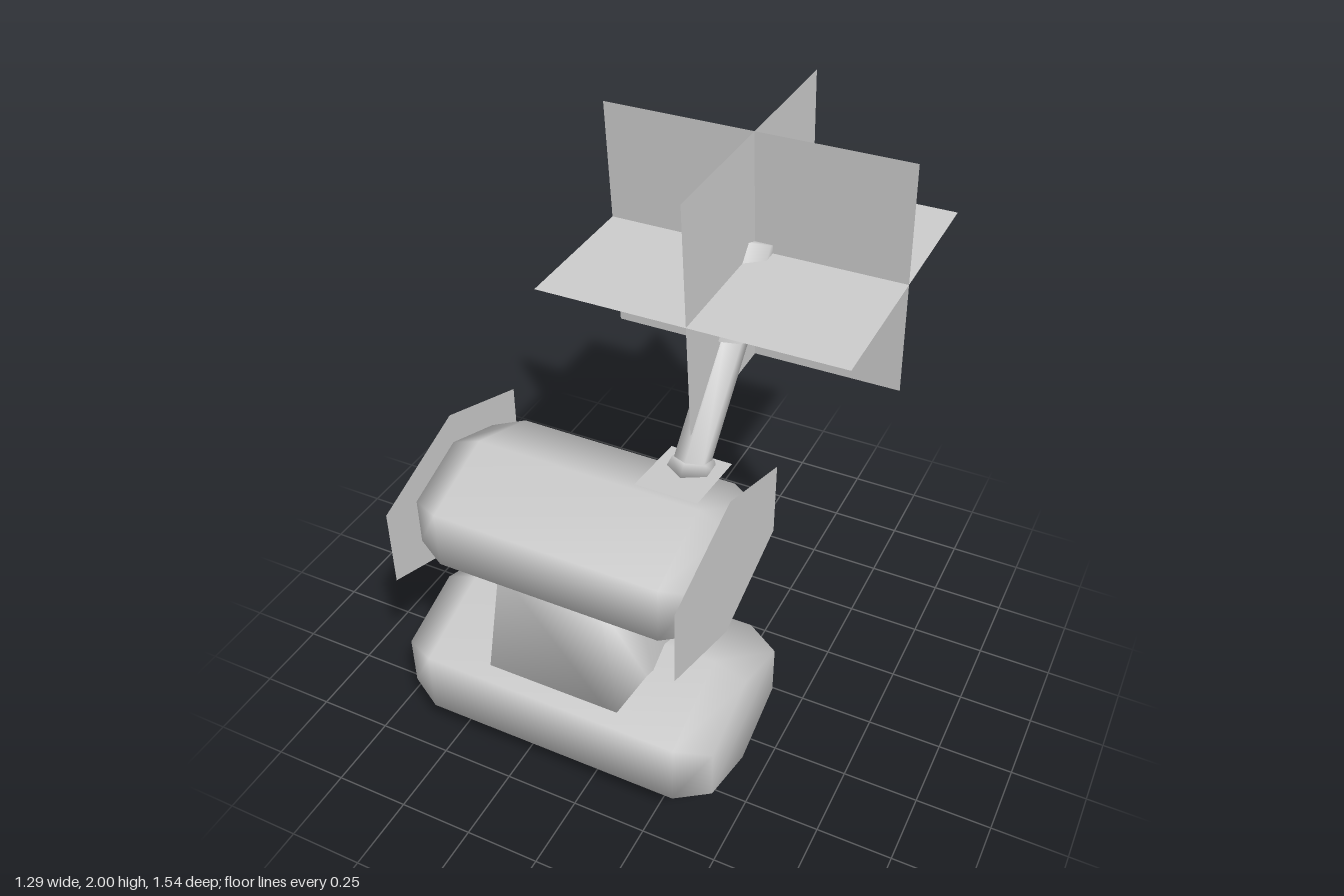
import * as THREE from 'three';

const solid = new THREE.MeshStandardMaterial({ color: 0xcccccc });
const thin = new THREE.MeshStandardMaterial({ color: 0xcccccc, side: THREE.DoubleSide });
const V = (x, y, z) => new THREE.Vector3(x, y, z);

function add(parent, name, geometry, material = solid) {
  const mesh = new THREE.Mesh(geometry, material);
  mesh.name = name;
  parent.add(mesh);
  return mesh;
}

// Skin through rings of points, counter-clockwise from above, lowest ring first, capped.
function loft(rings) {
  const n = rings[0].length;
  const points = rings.flat();
  const index = [];
  for (let r = 0; r < rings.length - 1; r++) {
    for (let i = 0; i < n; i++) {
      const a = r * n + i, b = r * n + (i + 1) % n;
      index.push(a, b, a + n, b, b + n, a + n);
    }
  }
  const last = (rings.length - 1) * n;
  for (let i = 1; i < n - 1; i++) {
    index.push(0, i + 1, i, last, last + i, last + i + 1);
  }
  const g = new THREE.BufferGeometry().setFromPoints(points);
  g.setIndex(index);
  g.computeVertexNormals();
  return g;
}

// Flat four-cornered sheet: centre and two half-extent vectors.
function sheet(c, a, b) {
  const corner = (s, t) => c.clone().addScaledVector(a, s).addScaledVector(b, t);
  const g = new THREE.BufferGeometry().setFromPoints(
    [corner(-1, -1), corner(1, -1), corner(1, 1), corner(-1, 1)]);
  g.setIndex([0, 1, 2, 0, 2, 3]);
  g.computeVertexNormals();
  return g;
}

// Six-sided tank lying along x, with chamfered ends.
function tank(x0, x1, y, z, halfY, halfZ, bevel) {
  const h = (x1 - x0) / 2;
  const profile = [[0, -h], [0.81, -h], [1, -h + bevel], [1, h - bevel], [0.81, h], [0, h]]
    .map(([r, t]) => new THREE.Vector2(r, t));
  const g = new THREE.LatheGeometry(profile, 6, Math.PI / 2);
  g.rotateZ(-Math.PI / 2);
  g.scale(1, halfY, halfZ / Math.cos(Math.PI / 6));
  g.translate((x0 + x1) / 2, y, z);
  return g;
}

// Hexagonal ring whose plane slopes up towards the front.
const slope = 0.37;
function ring(c, r) {
  return Array.from({ length: 6 }, (_, i) => {
    const a = Math.PI / 2 + i * Math.PI / 3, z = -r * Math.sin(a);
    return V(c.x + r * Math.cos(a), c.y + slope * z, c.z + z);
  });
}

// Level section of the neck, corners cut towards front and back.
function neckRing(y, w, front, side) {
  const half = [[w - 0.055, front], [w, side], [w, 0.22], [w - 0.05, 0.12]];
  return [...half.map(([x, z]) => V(x - 0.105, y, z)),
    ...half.reverse().map(([x, z]) => V(-x - 0.105, y, z))];
}

export function createModel() {
  const model = new THREE.Group();
  model.name = 'model';

  // Two stacked tanks joined by a tapered neck
  add(model, 'lowerBody', tank(-0.65, 0.45, 0.288, 0.42, 0.22, 0.3, 0.11));
  add(model, 'upperBody', tank(-0.58, 0.37, 0.895, 0.403, 0.195, 0.268, 0.1));
  add(model, 'neck', loft([neckRing(0.36, 0.292, 0.672, 0.5), neckRing(0.84, 0.228, 0.652, 0.54)]));

  // Sloping trapezoid panel behind the neck
  const panel = sheet(V(-0.105, 0.595, 0.098), V(0.31, 0, 0), V(0, 0.225, 0.009));
  const p = panel.attributes.position;
  for (const i of [2, 3]) p.setX(i, -0.105 + (p.getX(i) + 0.105) * 0.85);
  add(model, 'backPanel', panel, thin);

  // Thin hexagonal plates on the ends of the upper body
  for (const [name, x] of [['rightEndPlate', -0.578], ['leftEndPlate', 0.372]]) {
    const g = new THREE.CircleGeometry(1, 6, Math.PI / 2);
    g.scale(0.362 / Math.cos(Math.PI / 6), 0.26, 1);
    g.rotateY(Math.PI / 2);
    g.translate(x, 0.9, 0.406);
    add(model, name, g, thin);
  }

  // Hexagonal feet
  for (const [name, x] of [['rightFoot', -0.368], ['leftFoot', 0.173]]) {
    const g = new THREE.CylinderGeometry(1, 1, 0.107, 6);
    g.rotateY(Math.PI / 2);
    g.rotateZ(Math.PI / 2);
    // Put a corner of the hexagon at the bottom
    g.computeBoundingBox();
    const s = g.boundingBox.getSize(new THREE.Vector3());
    if (s.y < s.z) g.rotateX(Math.PI / 2);
    g.scale(1, 0.137, 0.2 / Math.cos(Math.PI / 6));
    g.translate(x, 0.137, 0.428);
    add(model, name, g);
  }

  // Antenna mast with its mount, leaning backwards
  const mast = new THREE.Group();
  mast.name = 'mast';
  model.add(mast);
  add(mast, 'mountPlate', sheet(V(0.158, 1.085, 0.265), V(0.103, 0, 0), V(0, -0.015, -0.125)), thin);
  add(mast, 'mountCollar', loft([ring(V(0.158, 1.05, 0.21), 0.085), ring(V(0.158, 1.1, 0.2), 0.065)]));
  add(mast, 'lowerRod', loft([ring(V(0.158, 1.08, 0.22), 0.058), ring(V(0.155, 1.42, -0.1), 0.058)]));
  add(mast, 'upperRod', loft([ring(V(0.152, 1.385, -0.055), 0.07), ring(V(0.15, 1.615, -0.265), 0.068)]));

  // Three crossing sheets around the tip of the mast
  const centre = V(0.15, 1.593, -0.247);
  const across = V(0.491, 0.001, -0.003), up = V(0, 0.404, 0.037), back = V(0, 0.004, -0.488);
  const star = new THREE.Group();
  star.name = 'crossedSheets';
  model.add(star);
  add(star, 'levelSheet', sheet(centre, across, back), thin);
  add(star, 'crosswiseSheet', sheet(centre, across, up), thin);
  add(star, 'lengthwiseSheet', sheet(centre, back, up), thin);

  return model;
}
